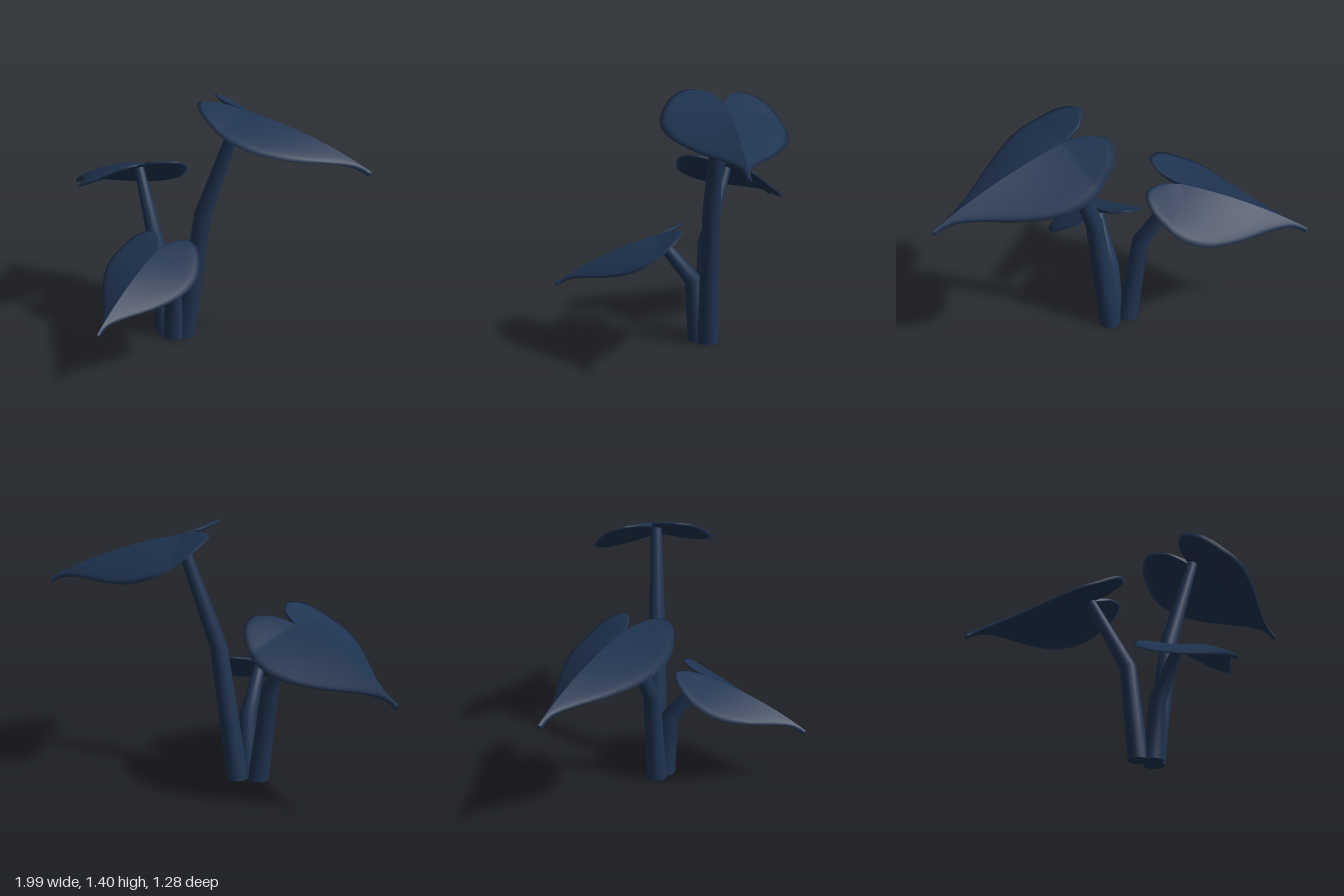
import * as THREE from 'three';

const V = (x, y, z) => new THREE.Vector3(x, y, z);

// Half outline of a heart-shaped leaf: x runs along the midrib, y is the half width.
const outline = new THREE.SplineCurve([
  [0, 0], [-0.07, 0.019], [-0.15, 0.058], [-0.205, 0.148], [-0.155, 0.252], [-0.03, 0.322], [0.1, 0.347],
  [0.24, 0.312], [0.4, 0.218], [0.57, 0.096], [0.68, 0.032], [0.75, 0.014], [0.79, 0.013], [0.8, 0],
].map(([x, y]) => new THREE.Vector2(x, y)));

const TIP = 0.8;
const HALF_THICKNESS = 0.012;

// One drooping half of a leaf; side is +1 or -1.
function leafHalf(side) {
  const rows = 72, across = 10, loop = across * 2 + 1;
  const positions = [], index = [];
  for (let i = 0; i <= rows; i++) {
    const edge = outline.getPoint(i / rows);
    const width = Math.max(0, edge.y);
    const rib = Math.min(TIP, Math.max(0, edge.x));
    // Across the top from midrib to rim, then back underneath.
    for (let j = 0; j < loop; j++) {
      const s = 1 - Math.abs(1 - j / across);
      const u = THREE.MathUtils.lerp(rib, edge.x, s), v = width * s;
      const arch = 0.2 * Math.max(0, u) * (TIP - u);
      // The fold steepens from the lobes towards the tip.
      const droop = v * (0.24 + 0.58 * u);
      const h = HALF_THICKNESS * Math.sqrt(Math.max(0, 1 - s ** 4)) * (j > across ? -1 : 1);
      positions.push(u, arch - droop + h, v * side);
    }
  }
  for (let i = 0; i < rows; i++) {
    for (let j = 0; j < loop - 1; j++) {
      const a = i * loop + j, b = a + 1, c = a + loop, d = c + 1;
      if (side > 0) index.push(a, b, c, b, d, c);
      else index.push(a, c, b, b, c, d);
    }
  }
  const geometry = new THREE.BufferGeometry();
  geometry.setAttribute('position', new THREE.Float32BufferAttribute(positions, 3));
  geometry.setIndex(index);
  geometry.computeVertexNormals();
  return geometry;
}

// Tapered stem through [point, radius] sections, its rings tilted to follow the bend.
function stemGeometry(sections) {
  const last = sections.length - 1;
  const geometry = new THREE.CylinderGeometry(1, 1, 1, 20, last);
  const position = geometry.attributes.position;
  const up = V(0, 1, 0), p = V();
  const turns = sections.map(([point], k) => {
    const dir = V();
    if (k > 0) dir.add(point.clone().sub(sections[k - 1][0]).normalize());
    if (k < last) dir.add(sections[k + 1][0].clone().sub(point).normalize());
    // The foot stays level with the ground.
    return new THREE.Quaternion().setFromUnitVectors(up, k === 0 ? up : dir.normalize());
  });
  for (let i = 0; i < position.count; i++) {
    p.fromBufferAttribute(position, i);
    const k = Math.round((p.y + 0.5) * last);
    const [center, radius] = sections[k];
    p.setY(0).multiplyScalar(radius).applyQuaternion(turns[k]).add(center);
    position.setXYZ(i, p.x, p.y, p.z);
  }
  geometry.computeVertexNormals();
  return geometry;
}

// Each shoot: leaf notch and tip, sideways roll, and stem sections.
const shoots = [
  {
    name: 'tallShoot', notch: V(0.298, 1.338, -0.312), tip: V(0.99, 1.07, -0.5), roll: -0.09,
    stem: [[V(0.022, 0, -0.203), 0.058], [V(0.118, 0.74, -0.228), 0.047], [V(0.308, 1.325, -0.29), 0.03]],
  },
  {
    name: 'middleShoot', notch: V(-0.346, 0.928, -0.265), tip: V(-0.99, 0.66, -0.47), roll: 0.12,
    stem: [[V(-0.088, 0, -0.17), 0.057], [V(-0.155, 0.52, -0.17), 0.046], [V(-0.345, 0.91, -0.26), 0.028]],
  },
  {
    name: 'frontShoot', notch: V(0.024, 0.583, 0.08), tip: V(0.067, 0.31, 0.635), roll: -0.04,
    stem: [[V(-0.014, 0, -0.145), 0.057], [V(0, 0.345, -0.115), 0.047], [V(0.022, 0.565, 0.065), 0.03]],
  },
];

export function createModel() {
  const model = new THREE.Group();
  model.name = 'plant';
  const navy = new THREE.MeshStandardMaterial({ color: 0x1f3350 });
  navy.name = 'navy';
  const halves = [leafHalf(1), leafHalf(-1)];

  for (const { name, notch, tip, roll, stem } of shoots) {
    const shoot = new THREE.Group();
    shoot.name = name;

    const stemMesh = new THREE.Mesh(stemGeometry(stem), navy);
    stemMesh.name = 'stem';
    shoot.add(stemMesh);

    // Leaf laid along the line from notch to tip
    const leaf = new THREE.Group();
    leaf.name = 'leaf';
    const along = tip.clone().sub(notch);
    const scale = along.length() / TIP;
    along.normalize();
    const sideways = along.clone().cross(V(0, 1, 0)).normalize();
    const normal = sideways.clone().cross(along);
    leaf.quaternion.setFromRotationMatrix(new THREE.Matrix4().makeBasis(along, normal, sideways));
    leaf.rotateX(roll);
    leaf.position.copy(notch);
    leaf.scale.setScalar(scale);
    halves.forEach((geometry, i) => {
      const half = new THREE.Mesh(geometry, navy);
      half.name = i === 0 ? 'leafHalfA' : 'leafHalfB';
      leaf.add(half);
    });
    shoot.add(leaf);
    model.add(shoot);
  }
  return model;
}
